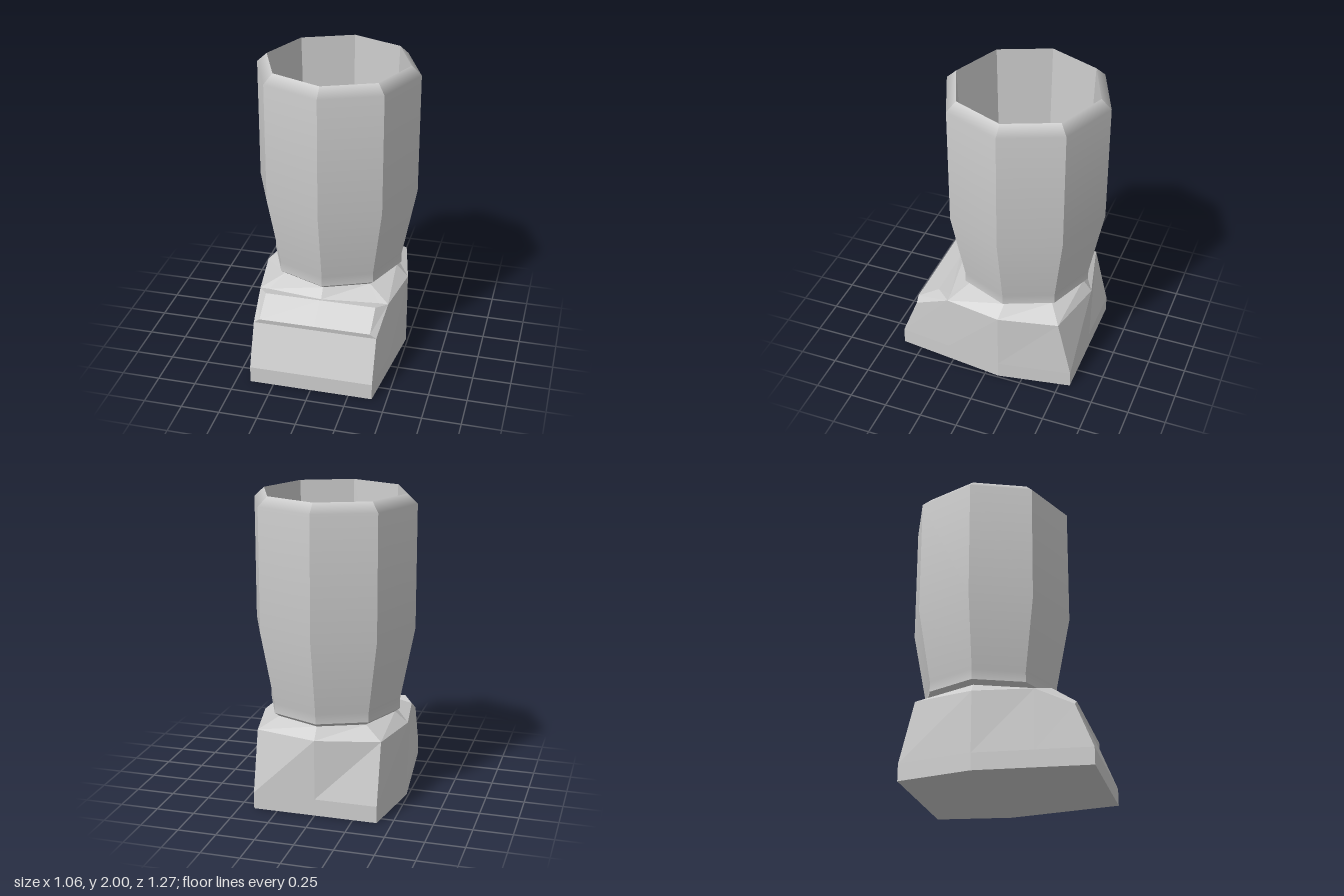
import * as THREE from 'three';

const grey = (opts = {}) => new THREE.MeshStandardMaterial({ color: 0xcccccc, ...opts });
const CENTRE_Z = -0.105;

// Eight-sided lathe: smooth along the profile, sharp between the sides
function octagonWall(name, profile, material) {
  const group = new THREE.Group();
  group.name = name;
  const points = profile.map(([r, y]) => new THREE.Vector2(r, y));
  for (let i = 0; i < 8; i++) {
    const start = (i * Math.PI) / 4;
    const mid = start + Math.PI / 8;
    const geo = new THREE.LatheGeometry(points, 1, start, Math.PI / 4);
    const p = geo.attributes.position;
    const n = geo.attributes.normal;
    for (let k = 0; k < p.count; k++) {
      const r = Math.hypot(p.getX(k), p.getZ(k));
      const h = (n.getX(k) * p.getX(k) + n.getZ(k) * p.getZ(k)) / r;
      n.setXYZ(k, h * Math.sin(mid), n.getY(k), h * Math.cos(mid));
    }
    const side = new THREE.Mesh(geo, material);
    side.name = name + 'Side';
    group.add(side);
  }
  return group;
}

// Skin through rings given as right halves (front centre to back centre), mirrored in x
function mirroredLoft(halves) {
  const rings = halves.map((half) => [
    ...half,
    ...half.slice(1, -1).reverse().map(([x, y, z]) => [-x, y, z]),
  ]);
  const count = rings[0].length;
  const index = [];
  for (let r = 0; r < rings.length - 1; r++) {
    for (let j = 0; j < count; j++) {
      const k = (j + 1) % count;
      const a = r * count + j, b = r * count + k;
      index.push(a, b, b + count, a, b + count, a + count);
    }
  }
  // Sole and top caps
  const base = rings.length * count;
  const last = base - count;
  for (let j = 0; j < count; j++) {
    const k = (j + 1) % count;
    index.push(base, k, j, base + 1, last + j, last + k);
  }
  const top = halves[halves.length - 1][0][1];
  const verts = [...rings.flat(), [0, 0, 0], [0, top, CENTRE_Z]];
  const geo = new THREE.BufferGeometry();
  geo.setAttribute('position', new THREE.Float32BufferAttribute(verts.flat(), 3));
  geo.setIndex(index);
  geo.computeVertexNormals();
  return geo;
}

export function createModel() {
  const model = new THREE.Group();
  model.name = 'boot';

  // Foot: straight sole edge, sloping toe, raised toe panel, tapered ankle
  const sole = (y) => [
    [0, y, 0.635], [0.405, y, 0.635], [0.445, y, 0.285],
    [0.488, y, -0.09], [0.405, y, -0.57], [0, y, -0.57],
  ];
  const ankle = [[0.43, 0.505, 0.285], [0.488, 0.505, -0.09], [0.405, 0.505, -0.475], [0, 0.505, -0.57]];
  const r = 0.405, d = r * Math.SQRT1_2;
  const foot = new THREE.Mesh(mirroredLoft([
    sole(0),
    sole(0.11),
    [[0, 0.39, 0.525], [0.405, 0.39, 0.525], ...ankle],
    [[0, 0.42, 0.53], [0.365, 0.42, 0.53], ...ankle],
    [[0, 0.525, 0.375], [0.365, 0.525, 0.375], ...ankle],
    [[0, 0.518, 0.35], [0.37, 0.508, 0.29], ...ankle],
    [
      [0, 0.58, CENTRE_Z + r], [d, 0.58, CENTRE_Z + d], [d, 0.58, CENTRE_Z + d],
      [r, 0.58, CENTRE_Z], [d, 0.58, CENTRE_Z - d], [0, 0.58, CENTRE_Z - r],
    ],
  ]), grey({ flatShading: true }));
  foot.name = 'foot';
  model.add(foot);

  // Hollow leg shaft
  const shaft = new THREE.Group();
  shaft.name = 'shaft';
  shaft.position.z = CENTRE_Z;
  const wall = grey();
  shaft.add(
    octagonWall('neck', [[0.405, 0.58], [0.437, 0.605]], wall),
    octagonWall('outerWall', [[0.437, 0.605], [0.437, 0.67], [0.53, 1.15], [0.53, 1.94], [0.465, 2]], wall),
    octagonWall('innerWall', [[0.465, 2], [0.412, 0.67]], wall),
  );

  // Floor inside the shaft
  const floor = new THREE.Mesh(new THREE.CircleGeometry(0.412, 8).rotateX(-Math.PI / 2), wall);
  floor.name = 'innerFloor';
  floor.position.y = 0.67;
  shaft.add(floor);

  // Cross on the floor: one arm repeated by quarter turns
  const arm = [[-0.17, 0.19], [-0.2, 0.14], [-0.1, 0.03], [-0.1, 0.01]];
  const outline = [];
  for (let q = 0; q < 4; q++) {
    for (const [x, y] of arm) {
      outline.push(new THREE.Vector2(x, y).rotateAround(new THREE.Vector2(), (q * Math.PI) / 2));
    }
  }
  const crossGeo = new THREE.ExtrudeGeometry(new THREE.Shape(outline), { depth: 0.02, bevelEnabled: false });
  const cross = new THREE.Mesh(crossGeo.rotateX(-Math.PI / 2), wall);
  cross.name = 'floorCross';
  cross.position.set(-0.01, 0.67, 0);
  shaft.add(cross);

  model.add(shaft);
  return model;
}
